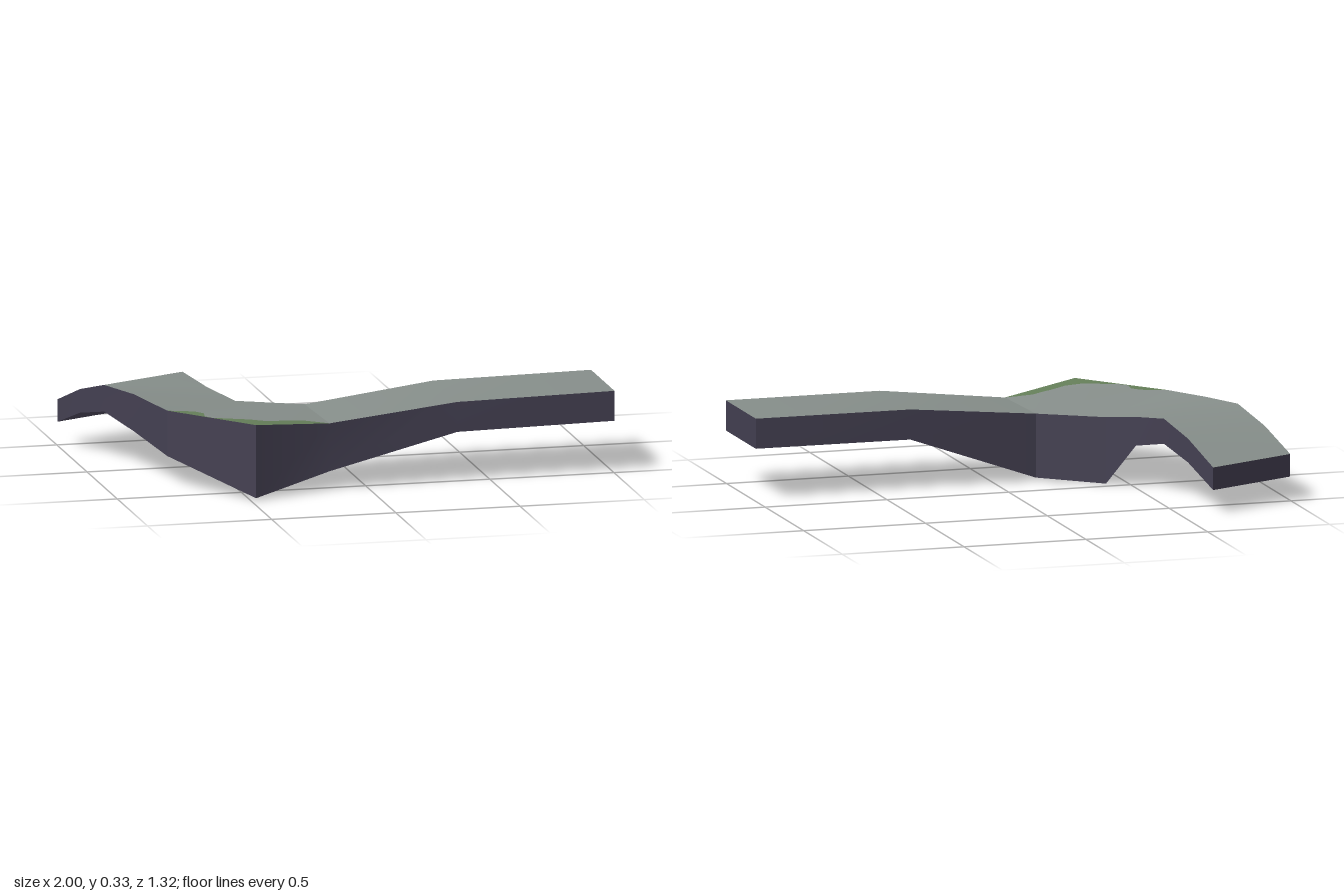
import * as THREE from 'three';

const DS = THREE.DoubleSide;
const stone = new THREE.MeshStandardMaterial({ name: 'greyStone', color: 0x88908c, side: DS });
const rock = new THREE.MeshStandardMaterial({ name: 'darkRock', color: 0x454153, side: DS });
const moss = new THREE.MeshStandardMaterial({ name: 'mossGreen', color: 0x66805a, side: DS });

// Rim points: x, z, top height, bottom height
// short arm, from the bend to its tip
const outer = [
  [-0.755, 0.32, 0.302, 0.12], [-0.83, 0.07, 0.318, 0.17], [-0.905, -0.11, 0.32, 0.213],
  [-0.955, -0.3, 0.265, 0.17], [-1, -0.49, 0.185, 0.095],
];
const inner = [
  [-0.415, 0.05, 0.265, 0], [-0.49, -0.1, 0.29, 0.175], [-0.545, -0.29, 0.315, 0.215],
  [-0.59, -0.46, 0.265, 0.17], [-0.63, -0.66, 0.185, 0.095],
];
// long arm, from the bend to its end
const front = [[-0.155, 0.54, 0.267, 0.075], [0.36, 0.537, 0.325, 0.205], [1, 0.51, 0.33, 0.21]];
const back = [[-0.17, 0.187, 0.268, 0.013], [0.36, 0.14, 0.325, 0.205], [1, 0.12, 0.33, 0.21]];
const corner = [-0.48, 0.66, 0.303, 0.01];

// ragged inner edge of the moss: x, z
const mossEdge = [
  [-0.7, 0.34], [-0.655, 0.36], [-0.627, 0.4], [-0.636, 0.455], [-0.61, 0.492], [-0.575, 0.505],
  [-0.535, 0.525], [-0.48, 0.55], [-0.41, 0.565], [-0.34, 0.535], [-0.31, 0.53], [-0.26, 0.51], [-0.2, 0.525],
].map(([x, z]) => [x, z, 0.302 - 0.108 * Math.max(0, x + 0.48)]);

const top = (p) => [p[0], p[2], p[1]];
const bottom = (p) => [p[0], p[3], p[1]];

function mesh(name, points, index, material) {
  const g = new THREE.BufferGeometry();
  g.setAttribute('position', new THREE.Float32BufferAttribute(points.flat(), 3));
  g.setIndex(index);
  g.computeVertexNormals();
  const m = new THREE.Mesh(g, material);
  m.name = name;
  return m;
}

// Ribbon between two rows of points
function strip(name, a, b, material) {
  const n = a.length, index = [];
  for (let i = 0; i < n - 1; i++) index.push(i, n + i, i + 1, n + i, n + i + 1, i + 1);
  return mesh(name, [...a, ...b], index, material);
}

const wall = (name, rim) => strip(name, rim.map(bottom), rim.map(top), rock);

// Filled outline seen from above, with its own heights
function patch(name, rim, material) {
  const flat = rim.map((p) => new THREE.Vector2(p[0], -p[1]));
  return mesh(name, rim.map(top), THREE.ShapeUtils.triangulateShape(flat, []).flat(), material);
}

export function createModel() {
  const group = new THREE.Group();
  group.name = 'bentLedge';
  group.add(
    // walking surface
    strip('shortArmTop', outer.map(top), inner.map(top), stone),
    strip('longArmTop', back.map(top), front.map(top), stone),
    patch('bendTop', [outer[0], ...mossEdge, front[0], back[0], inner[0]], stone),
    patch('mossPatch', [outer[0], corner, front[0], ...[...mossEdge].reverse()], moss),
    // side walls, open underneath
    wall('frontWall', [...[...front].reverse(), corner]),
    wall('cornerWall', [corner, outer[0]]),
    wall('outerWall', outer),
    wall('shortArmEnd', [outer[4], inner[4]]),
    wall('innerWall', [...inner].reverse()),
    wall('bendWall', [inner[0], back[0]]),
    wall('backWall', back),
    wall('longArmEnd', [back[2], front[2]]),
  );
  return group;
}
